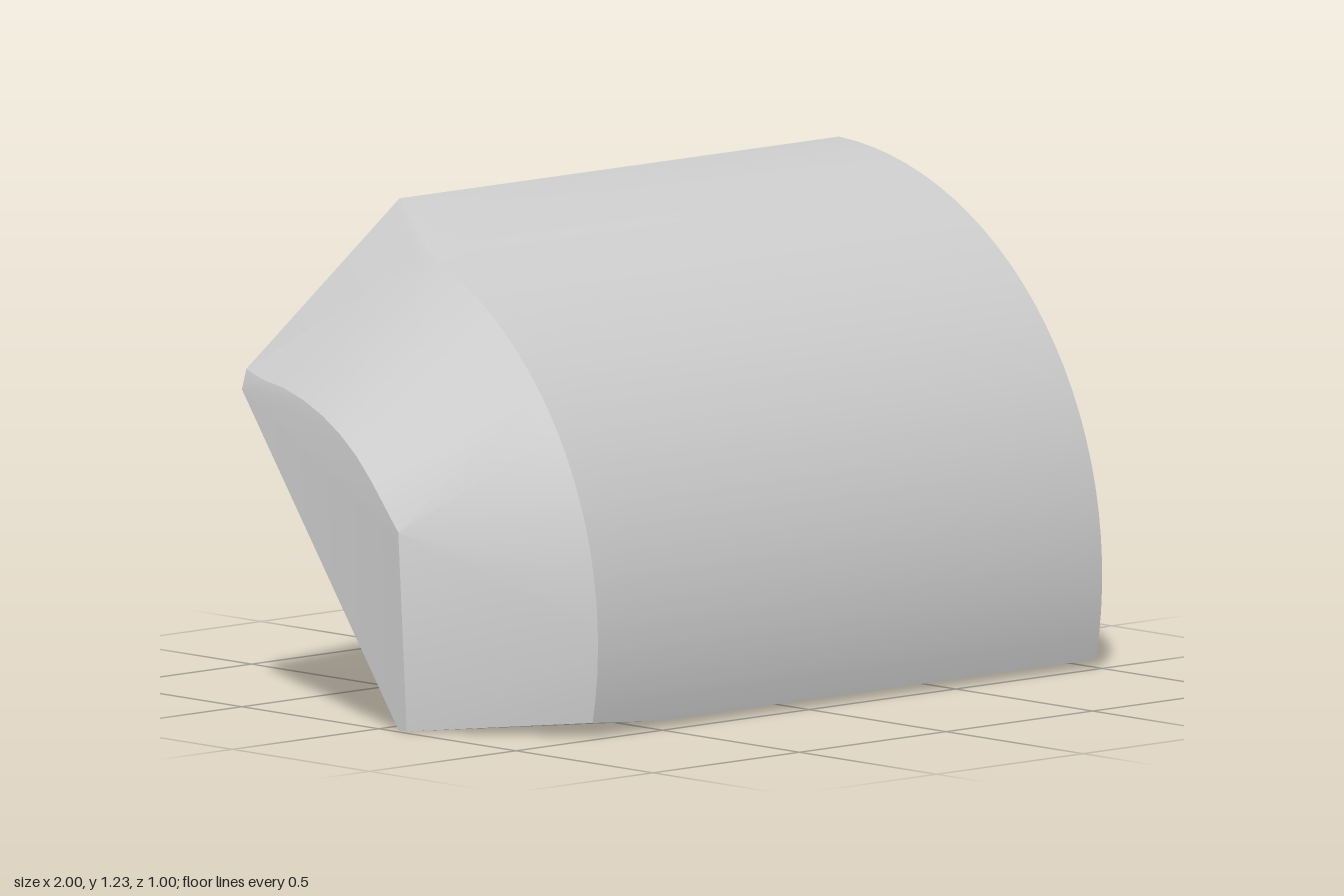
import * as THREE from 'three';
import { ConvexGeometry } from 'three/addons/geometries/ConvexGeometry.js';
import { toCreasedNormals } from 'three/addons/utils/BufferGeometryUtils.js';

// Points on a circular arc in a plane of constant x (angles in degrees, 0 = front, 90 = top)
function arc(x, radius, from, to, steps) {
  const points = [];
  for (let i = 0; i <= steps; i++) {
    const a = THREE.MathUtils.degToRad(from + ((to - from) * i) / steps);
    points.push(new THREE.Vector3(x, 0.235 + radius * Math.sin(a), -0.5 + radius * Math.cos(a)));
  }
  return points;
}

export function createModel() {
  const v = (x, y, z) => new THREE.Vector3(x, y, z);
  const points = [
    // Full quarter-round section, from the flat end to the shoulder
    ...arc(1, 1, -12.4, 87.7, 28),
    v(1, 0.02, -0.46),
    ...arc(-0.5, 1, -12.4, 87.7, 28),
    v(-0.46, 0.015, -0.46),
    // Rim where the curved front meets the tapered end
    ...arc(-0.72, 1, -11.3, 66.5, 22),
    v(-0.73, 1.145, -0.13),
    // Small rounded nose of the tapered end
    ...arc(-0.99, 0.6, 25, 84, 8),
    v(-1, 0.8, -0.5),
    v(-0.985, 0.85, -0.5),
    v(-0.99, 0.5, 0.06),
    v(-0.98, 0, 0.08),
    v(-0.98, 0, 0.05),
    v(-0.76, 0, -0.15),
    // Slight bulge of the back
    v(-0.75, 0.86, -0.5),
    v(-0.86, 0.67, -0.5),
  ];

  const block = new THREE.Mesh(
    toCreasedNormals(new ConvexGeometry(points), 0.3),
    new THREE.MeshStandardMaterial({ color: 0xcccccc })
  );
  block.name = 'quarterRoundBlock';

  const group = new THREE.Group();
  group.name = 'taperedBlock';
  group.add(block);
  return group;
}
